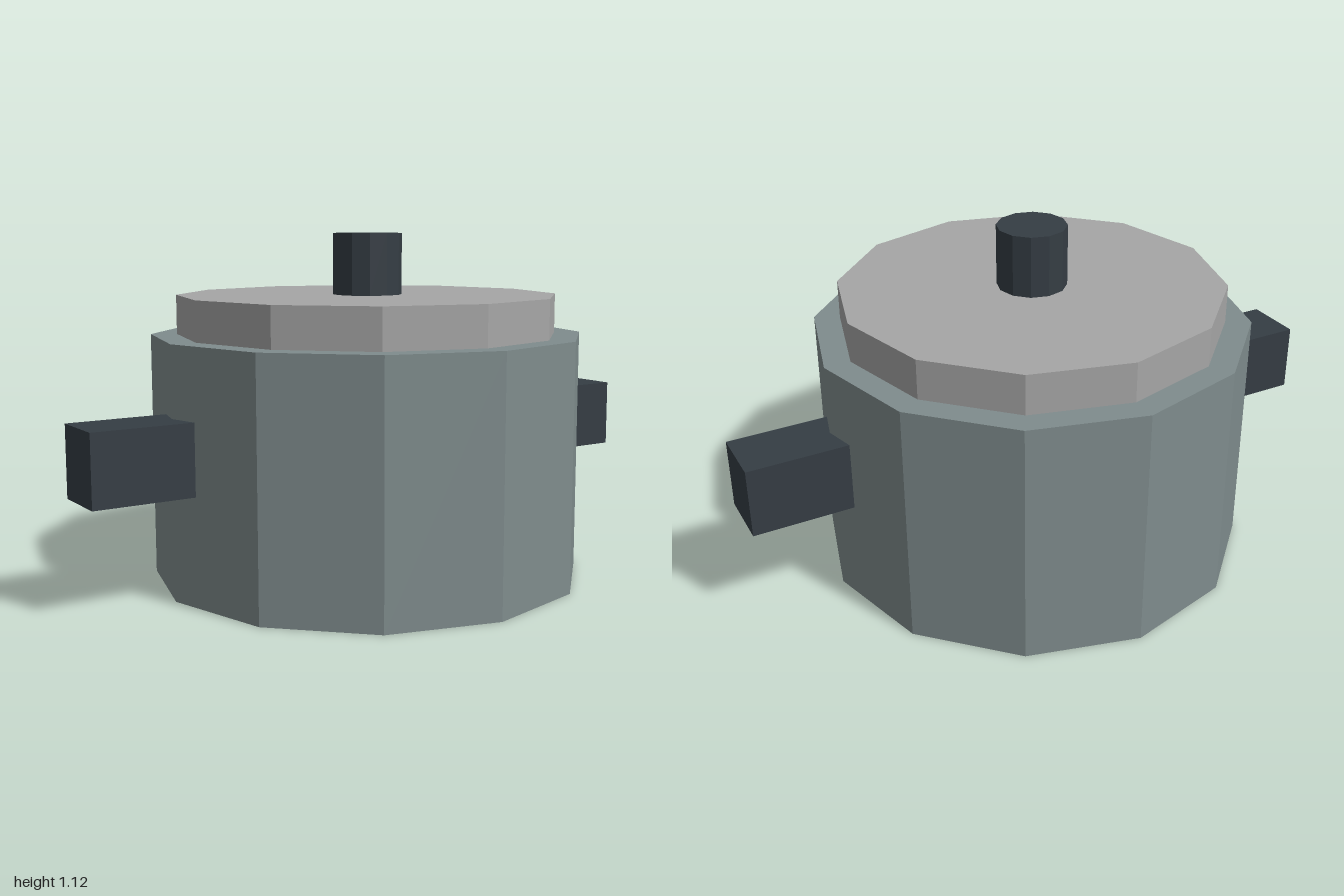
import * as THREE from 'three';

export function createModel() {
  const group = new THREE.Group();
  group.name = 'cookingPot';

  const material = (color) => new THREE.MeshStandardMaterial({ color, flatShading: true });
  const steel = material(0x7f8c8d);
  const lidGrey = material(0xa6a6a6);
  const dark = material(0x353d44);

  const add = (name, geometry, mat, x, y) => {
    const mesh = new THREE.Mesh(geometry, mat);
    mesh.name = name;
    mesh.position.set(x, y, 0);
    group.add(mesh);
  };

  // Twelve-sided drum standing between two heights
  const drum = (name, radius, bottom, top, mat) =>
    add(name, new THREE.CylinderGeometry(radius, radius, top - bottom, 12), mat, 0, (bottom + top) / 2);

  drum('body', 0.704, 0, 0.79, steel);
  drum('lid', 0.62, 0.79, 0.917, lidGrey);
  drum('knob', 0.112, 0.917, 1.115, dark);

  // Side handles, set slightly into the body wall
  for (const [name, side] of [['leftHandle', 1], ['rightHandle', -1]]) {
    add(name, new THREE.BoxGeometry(0.36, 0.225, 0.196), dark, side * 0.82, 0.453);
  }

  return group;
}
